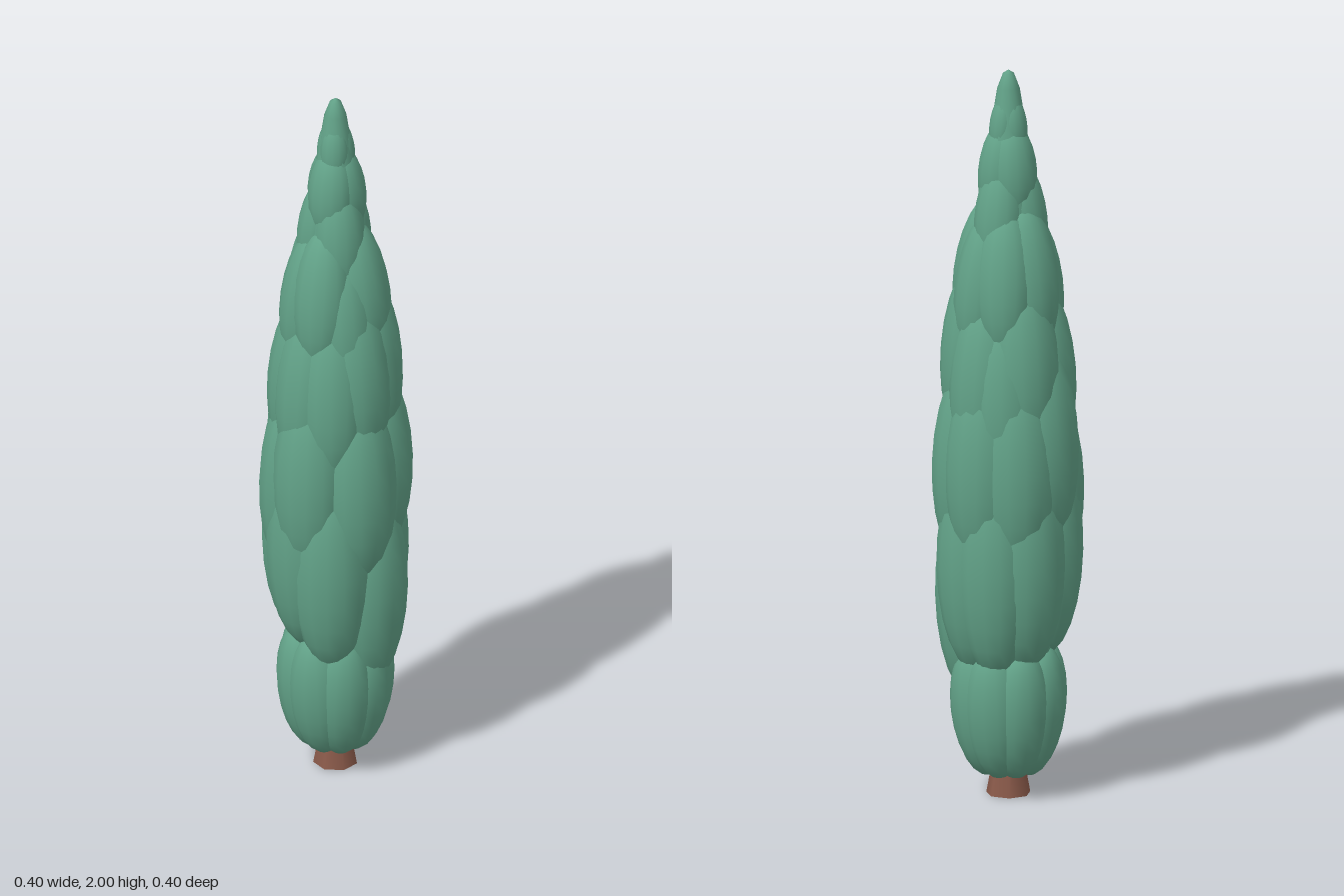
import * as THREE from 'three';

const DEG = Math.PI / 180;

export function createModel() {
  const tree = new THREE.Group();
  tree.name = 'cypressTree';
  const leaf = new THREE.MeshStandardMaterial({ color: 0x62a288 });
  leaf.name = 'foliageGreen';
  const bark = new THREE.MeshStandardMaterial({ color: 0x8a5a4a });
  bark.name = 'barkBrown';

  function add(name, geometry, material) {
    const mesh = new THREE.Mesh(geometry, material);
    mesh.name = name;
    tree.add(mesh);
    return mesh;
  }

  // Flared trunk
  const trunk = add('trunk', new THREE.CylinderGeometry(0.03, 0.06, 0.16, 7), bark);
  trunk.position.y = 0.08;

  // Inner foliage that fills the gaps and carries the stepped tip
  const profile = [
    [0, 0.1], [0.05, 0.12], [0.1, 0.22], [0.13, 0.45], [0.14, 0.8], [0.1, 1.4],
    [0.07, 1.72], [0.046, 1.85], [0.03, 1.95], [0.015, 1.99], [0, 2],
  ].map(([r, y]) => new THREE.Vector2(r, y));
  add('foliageCore', new THREE.LatheGeometry(profile, 12), leaf);

  // One ellipsoid leaf clump: angle runs from +x towards +z, reach is its
  // outermost distance from the axis, lean tilts its top inward
  const sphere = new THREE.SphereGeometry(1, 14, 12);
  function addClump(name, angle, y, { r, h, reach, lean }) {
    const a = angle * DEG;
    const mesh = add(name, sphere, leaf);
    mesh.position.set(Math.cos(a) * (reach - r), y, Math.sin(a) * (reach - r));
    mesh.rotation.set(0, -a, lean, 'YXZ');
    mesh.scale.set(r, h, r * 1.08);
  }

  // Regular rings: skirt at the base and small clumps near the tip
  const rings = [
    { name: 'skirtClump', count: 8, start: 8, y: 0.24, r: 0.08, h: 0.185, reach: 0.158, lean: -0.12 },
    { name: 'neckClump', count: 3, start: 95, y: 1.59, r: 0.064, h: 0.165, reach: 0.105, lean: 0.1 },
    { name: 'crownClump', count: 3, start: 20, y: 1.72, r: 0.06, h: 0.135, reach: 0.082, lean: 0.08 },
    { name: 'tipClump', count: 3, start: 0, y: 1.84, r: 0.036, h: 0.09, reach: 0.053, lean: 0.08 },
  ];
  for (const ring of rings) {
    for (let i = 0; i < ring.count; i++) {
      addClump(`${ring.name}${i + 1}`, ring.start + (360 * i) / ring.count, ring.y, ring);
    }
  }

  // Loose tiers of the body, each clump given as [angle, centre height]
  const lower = [[3, 0.64], [45, 0.55], [118, 0.63], [168, 0.68], [213, 0.68], [270, 0.66], [318, 0.64]];
  const middle = [[20, 0.92], [78, 0.88], [148, 0.9], [192, 0.86], [243, 0.98], [285, 0.92], [337, 0.92]];
  const upper = [[33, 1.23], [74, 1.2], [115, 1.15], [160, 1.15], [200, 1.17], [272, 1.2], [304, 1.11], [343, 1.15]];
  const shoulder = [[2, 1.41], [48, 1.44], [92, 1.36], [138, 1.43], [185, 1.41], [250, 1.44], [304, 1.43]];
  const tiers = [
    { name: 'lowerClump', clumps: lower, r: 0.1, h: 0.295, reach: 0.2, lean: -0.02 },
    { name: 'middleClump', clumps: middle, r: 0.1, h: 0.285, reach: 0.206, lean: 0.03 },
    { name: 'upperClump', clumps: upper, r: 0.09, h: 0.255, reach: 0.181, lean: 0.08 },
    { name: 'shoulderClump', clumps: shoulder, r: 0.075, h: 0.205, reach: 0.15, lean: 0.13 },
  ];
  for (const tier of tiers) {
    tier.clumps.forEach(([angle, y], i) => addClump(`${tier.name}${i + 1}`, angle, y, tier));
  }
  return tree;
}
